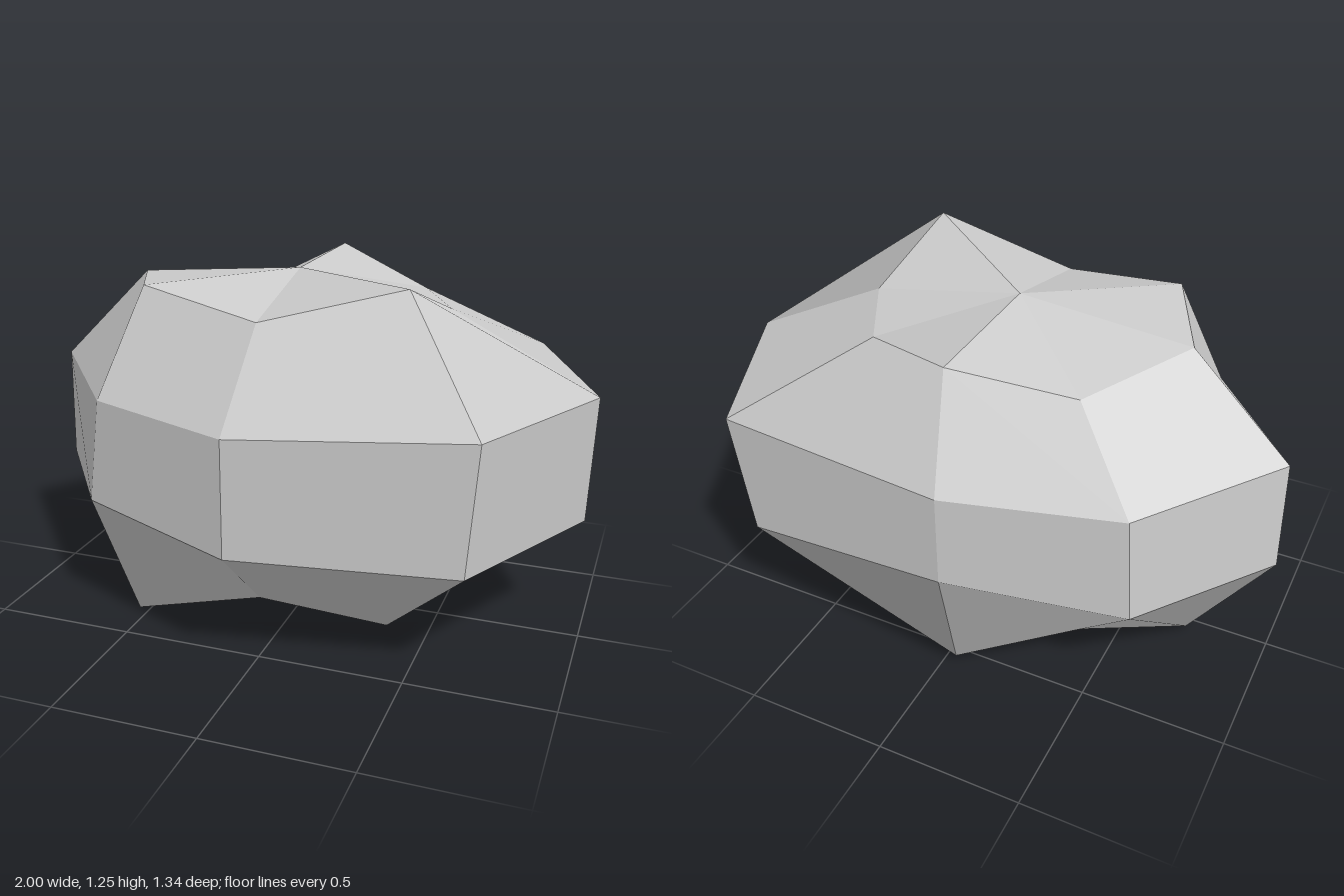
import * as THREE from 'three';

// Rings from top to bottom; points run -x, front, +x, back
const RINGS = [
  [[-0.645, 1.17, -0.065], [-0.485, 1.195, 0.275], [-0.05, 1.12, 0.355], [0.44, 1.255, 0.315],
   [0.49, 1.115, -0.065], [0.33, 1.115, -0.36], [-0.05, 1.22, -0.575], [-0.38, 1.055, -0.325]],
  [[-0.99, 0.83, -0.065], [-0.63, 0.805, 0.38], [-0.05, 0.83, 0.665], [0.725, 0.865, 0.54],
   [1.0, 0.855, -0.065], [0.725, 0.865, -0.665], [-0.05, 0.795, -0.665], [-0.63, 0.805, -0.52]],
  [[-1.0, 0.425, -0.065], [-0.66, 0.445, 0.41], [-0.05, 0.43, 0.67], [0.69, 0.41, 0.52],
   [0.985, 0.41, -0.065], [0.69, 0.405, -0.64], [-0.05, 0.46, -0.665], [-0.66, 0.445, -0.54]],
  [[-0.72, 0.025, -0.065], [-0.54, 0.0, 0.32], [-0.05, 0.145, 0.36], [0.385, 0.075, 0.28],
   [0.41, 0.21, -0.065], [0.28, 0.21, -0.32], [-0.05, 0.04, -0.57], [-0.43, 0.15, -0.365]],
].map((ring) => ring.map((p) => new THREE.Vector3(...p)));
const TOP = new THREE.Vector3(-0.05, 1.22, -0.065);
const BOTTOM = new THREE.Vector3(-0.05, 0.04, -0.065);

// Three- or four-cornered faces, each with one normal for its whole facet
function facetedGeometry(faces) {
  const positions = [], normals = [];
  for (const [p0, p1, p2, p3] of faces) {
    const across = (p3 ?? p0).clone().sub(p1);
    const normal = p2.clone().sub(p0).cross(across).normalize();
    const corners = p3 ? [p0, p1, p2, p0, p2, p3] : [p0, p1, p2];
    for (const corner of corners) {
      positions.push(...corner.toArray());
      normals.push(...normal.toArray());
    }
  }
  const geometry = new THREE.BufferGeometry();
  geometry.setAttribute('position', new THREE.Float32BufferAttribute(positions, 3));
  geometry.setAttribute('normal', new THREE.Float32BufferAttribute(normals, 3));
  return geometry;
}

export function createModel() {
  const group = new THREE.Group();
  group.name = 'rock';
  const stone = new THREE.MeshStandardMaterial({ color: 0xcccccc });
  stone.name = 'pale stone grey';

  // Caps of triangles at both ends, bands of quads between the rings
  const faces = [];
  const first = RINGS[0], last = RINGS[RINGS.length - 1];
  for (let i = 0; i < first.length; i++) {
    const next = (i + 1) % first.length;
    faces.push([TOP, first[i], first[next]]);
    for (let r = 0; r < RINGS.length - 1; r++) {
      faces.push([RINGS[r][i], RINGS[r + 1][i], RINGS[r + 1][next], RINGS[r][next]]);
    }
    faces.push([last[i], BOTTOM, last[next]]);
  }

  const boulder = new THREE.Mesh(facetedGeometry(faces), stone);
  boulder.name = 'boulder';
  group.add(boulder);
  return group;
}
